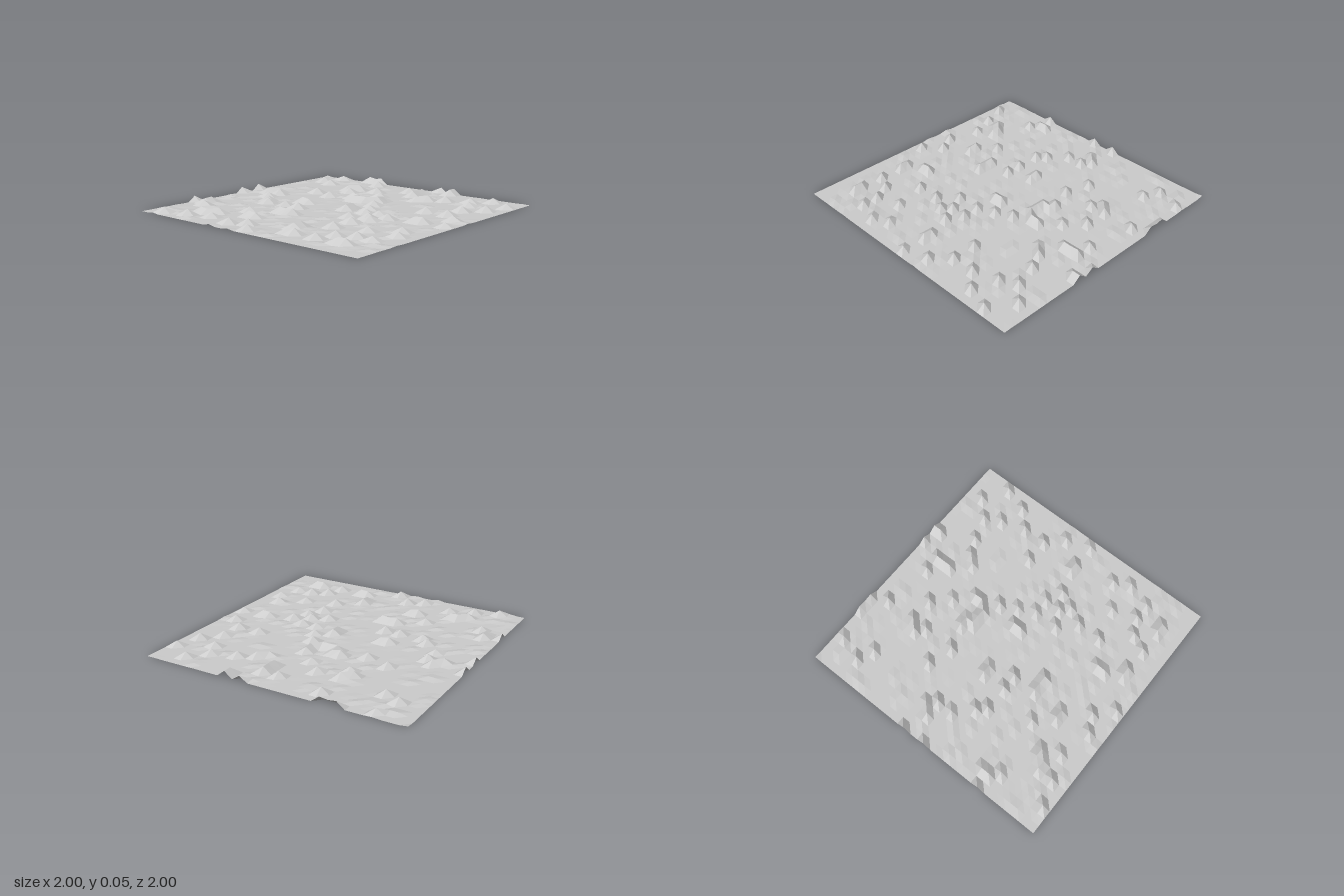
import * as THREE from 'three';

const CELLS = 33;      // grid squares per side
const PEAK = 0.048;    // height of the tall bumps

// Columns of the tall bumps, one list for each grid row from back to front
const PEAK_COLUMNS = [
  [8, 9, 10, 20, 22], [4, 22], [11, 29], [17, 19], [3, 19, 27, 32], [5, 19, 24],
  [11, 14, 22, 28], [10, 21, 31], [11, 16], [29], [18], [8, 14, 15, 18],
  [11, 15, 16, 17, 26, 29], [19], [0, 4, 31], [3, 5, 20], [18],
  [0, 5, 11, 12, 18, 21, 23, 28, 29, 32], [25], [7, 23], [8, 11, 13, 21, 24], [],
  [23, 30], [13, 14, 15], [2, 27, 31], [0, 2, 10, 23], [3], [12, 13, 20, 28, 30],
  [7, 8, 20, 26], [6, 7], [9, 15, 21, 22, 25, 28, 29], [6, 13], [3, 17], [],
];

function seededRandom(seed) {
  return () => {
    seed = (seed * 16807) % 2147483647;
    return seed / 2147483647;
  };
}

export function createModel() {
  const group = new THREE.Group();
  group.name = 'terrain';
  const stone = new THREE.MeshStandardMaterial({ color: 0xcccccc, flatShading: true, side: THREE.DoubleSide });
  stone.name = 'light grey stone';

  // Flat sheet of square cells
  const sheet = new THREE.PlaneGeometry(2, 2, CELLS, CELLS).rotateX(-Math.PI / 2);
  const position = sheet.attributes.position;
  const random = seededRandom(4711);

  // Raise the tall bumps, with slight ripples between them
  for (let row = 0; row <= CELLS; row++) {
    for (let column = 0; column <= CELLS; column++) {
      const chance = random();
      const variation = random();
      const ripple = chance < 0.2 ? 0.012 * variation : 0;
      const isPeak = PEAK_COLUMNS[row].includes(column);
      const height = isPeak ? PEAK - 0.012 * variation * variation : ripple;
      position.setY(row * (CELLS + 1) + column, height);
    }
  }
  sheet.computeVertexNormals();

  const ground = new THREE.Mesh(sheet, stone);
  ground.name = 'bumpyGround';
  group.add(ground);
  return group;
}
